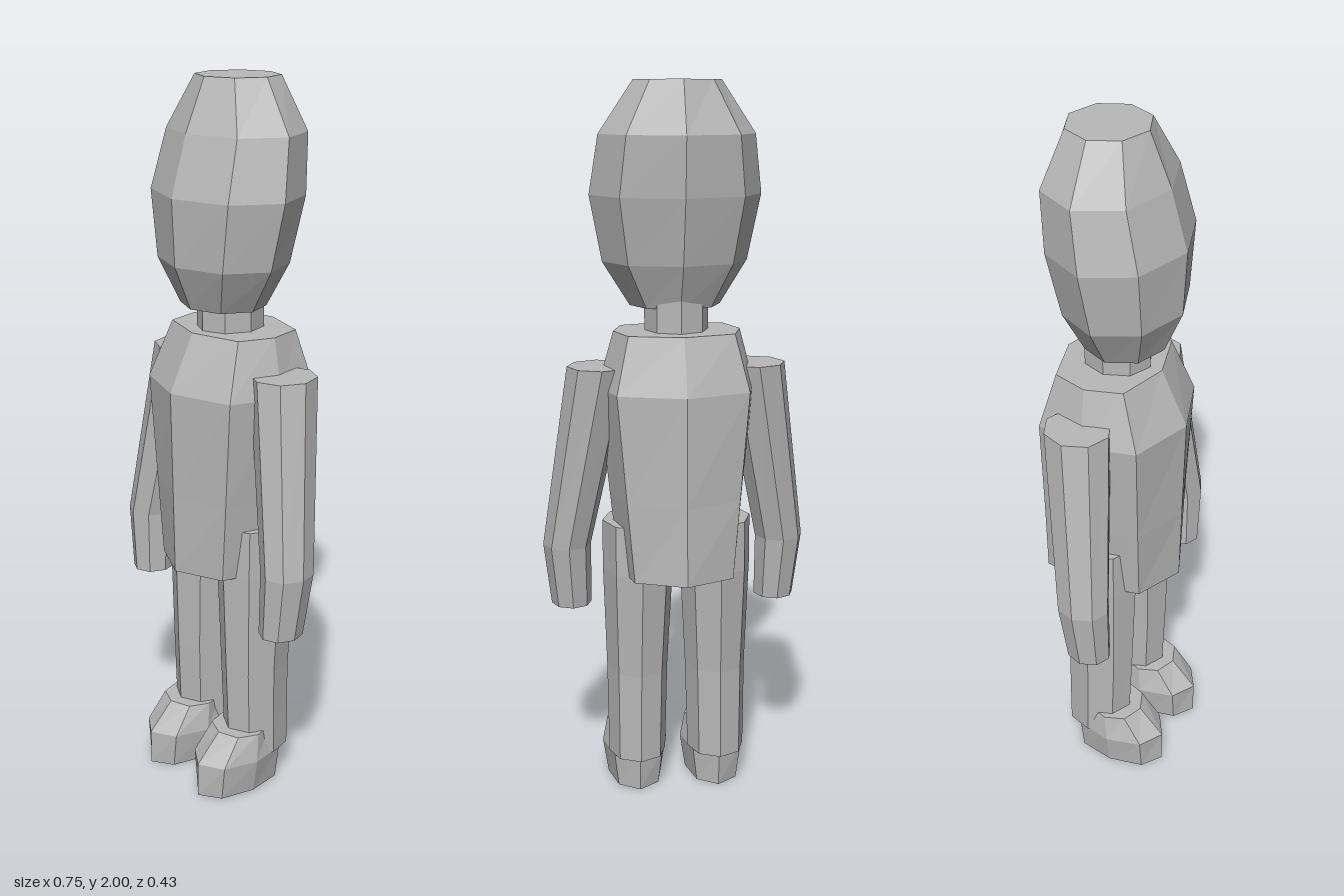
import * as THREE from 'three';

const SIDES = 8;

// Closed faceted body through horizontal rings, listed bottom to top.
// Each ring: [y, centreX, centreZ, radiusX, radiusZ]; square widens the diagonal corners in x.
function loft(rings, square = 1) {
  const last = rings.length - 1;
  const geo = new THREE.CylinderGeometry(1, 1, 1, SIDES, last);
  const p = geo.attributes.position;
  for (let i = 0; i < p.count; i++) {
    const [y, cx, cz, rx, rz] = rings[Math.round((p.getY(i) + 0.5) * last)];
    const diagonal = Math.abs(Math.abs(p.getX(i)) - Math.SQRT1_2) < 0.01;
    const k = diagonal ? square : 1;
    p.setXYZ(i, cx + p.getX(i) * rx * k, y, cz + p.getZ(i) * rz);
  }
  const flat = geo.toNonIndexed();
  flat.computeVertexNormals();
  return flat;
}

const head = [
  [1.4, 0, 0.03, 0.125, 0.11],
  [1.52, 0, 0.03, 0.2, 0.16],
  [1.7, 0, 0.015, 0.235, 0.183],
  [1.86, 0, -0.015, 0.212, 0.166],
  [2.0, 0, -0.02, 0.118, 0.11],
];
const neck = [
  [1.31, 0, 0.005, 0.088, 0.095],
  [1.43, 0, 0.005, 0.088, 0.095],
];
const torso = [
  [0.66, 0, -0.005, 0.165, 0.207],
  [0.88, 0, 0, 0.188, 0.205],
  [1.18, 0, 0.005, 0.218, 0.205],
  [1.335, 0, -0.005, 0.175, 0.14],
];
const arm = [
  [0.54, 0.295, 0.065, 0.057, 0.063],
  [0.72, 0.306, 0.055, 0.068, 0.075],
  [1.24, 0.215, -0.004, 0.088, 0.092],
];
const leg = [
  [0.1, 0.115, 0.003, 0.082, 0.098],
  [0.36, 0.113, 0.007, 0.087, 0.103],
  [0.66, 0.11, 0, 0.1, 0.118],
  [0.8, 0.11, 0, 0.1, 0.115],
];
const foot = [
  [0, 0.115, 0.075, 0.078, 0.14],
  [0.1, 0.115, 0.073, 0.094, 0.142],
  [0.178, 0.115, 0.06, 0.082, 0.08],
];

export function createModel() {
  const grey = new THREE.MeshStandardMaterial({ color: 0xb8b8b8 });
  grey.name = 'plain grey';
  const model = new THREE.Group();
  model.name = 'figure';

  const add = (name, rings, square) => {
    const mesh = new THREE.Mesh(loft(rings, square), grey);
    mesh.name = name;
    model.add(mesh);
  };

  // Central parts
  add('head', head);
  add('neck', neck);
  add('torso', torso, 1.17);

  // Paired limbs, mirrored across x
  for (const [side, s] of [['left', 1], ['right', -1]]) {
    const mirror = (rings) => rings.map(([y, cx, ...rest]) => [y, cx * s, ...rest]);
    add(side + 'Arm', mirror(arm));
    add(side + 'Leg', mirror(leg));
    add(side + 'Foot', mirror(foot), 1.05);
  }
  return model;
}
